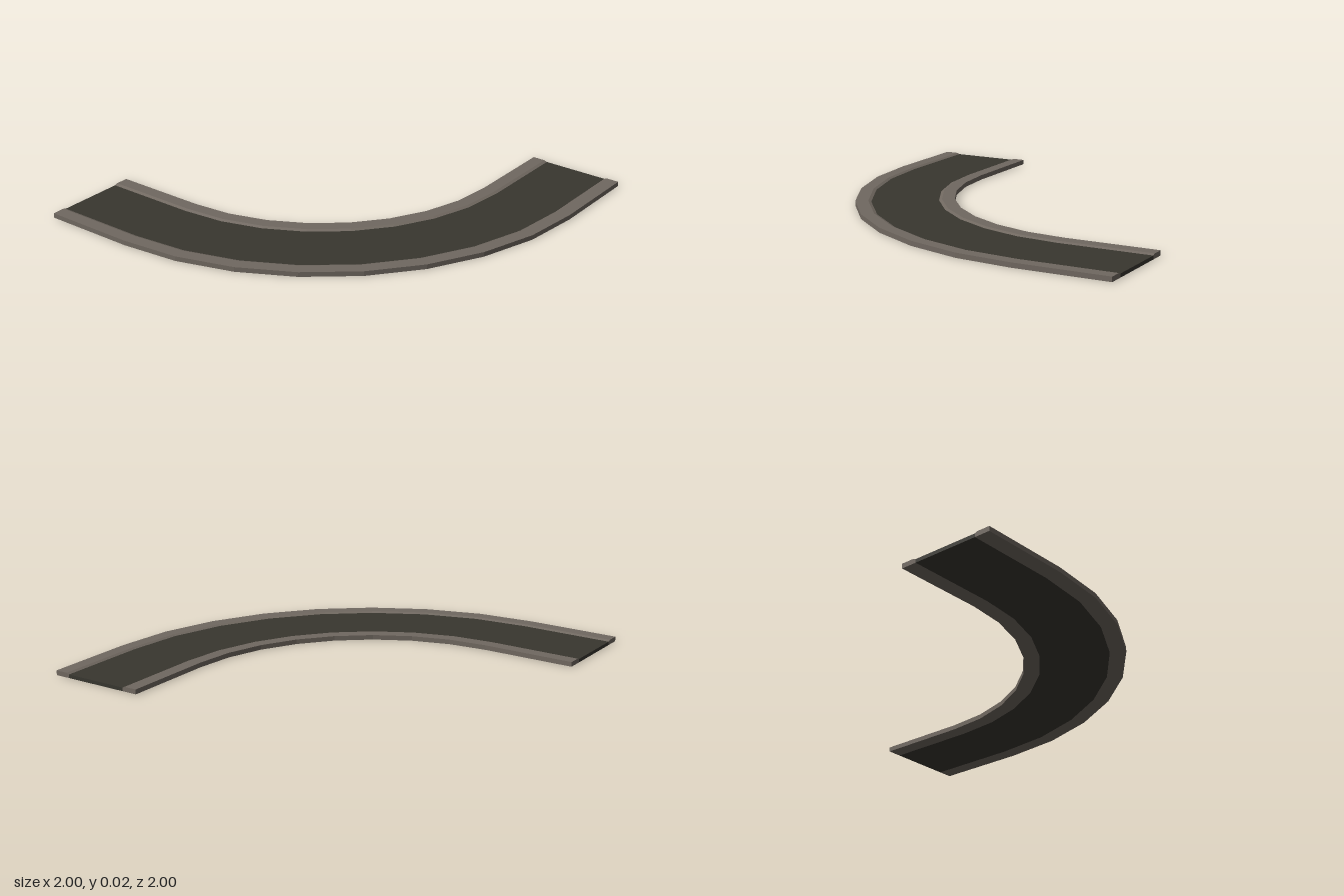
import * as THREE from 'three';

const CENTRE = -0.52; // x and z of the bend's centre
const SEGMENTS = 8;

// One cross-section of the road: a point at radius r and height y
function stationPoint(i, r, y) {
  const step = Math.min(Math.max(i - 1, 0), SEGMENTS);
  const a = (step / SEGMENTS) * Math.PI / 2;
  let x = CENTRE + r * Math.cos(a);
  let z = CENTRE + r * Math.sin(a);
  if (i === 0) z = -1; // straight lead-in
  if (i === SEGMENTS + 2) x = -1; // straight lead-out
  return [x, y, z];
}

// Sweeps a convex, counter-clockwise [r, y] profile along the bend
function sweep(profile) {
  const pos = [];
  const tri = (a, b, c) => pos.push(...a, ...b, ...c);
  const last = SEGMENTS + 2;
  const n = profile.length;
  const at = (i, k) => stationPoint(i, ...profile[k % n]);
  for (let i = 0; i < last; i++) {
    for (let k = 0; k < n; k++) {
      const a = at(i, k), b = at(i, k + 1), c = at(i + 1, k + 1), d = at(i + 1, k);
      tri(a, b, c);
      tri(a, c, d);
    }
  }
  // End caps
  for (let k = 1; k < n - 1; k++) {
    tri(at(0, 0), at(0, k + 1), at(0, k));
    tri(at(last, 0), at(last, k), at(last, k + 1));
  }
  const geo = new THREE.BufferGeometry();
  geo.setAttribute('position', new THREE.Float32BufferAttribute(pos, 3));
  geo.computeVertexNormals();
  return geo;
}

export function createModel() {
  const asphalt = new THREE.MeshStandardMaterial({ color: 0x38362f });
  asphalt.name = 'asphalt';
  const stone = new THREE.MeshStandardMaterial({ color: 0x706860 });
  stone.name = 'kerbStone';

  const group = new THREE.Group();
  group.name = 'roadBend';
  const add = (name, profile, material) => {
    const mesh = new THREE.Mesh(sweep(profile), material);
    mesh.name = name;
    group.add(mesh);
  };

  // Carriageway, slightly lower than the kerbs
  add('roadSurface', [[1.1, 0], [1.44, 0], [1.44, 0.018], [1.1, 0.018]], asphalt);
  // Kerbs with a small bevel towards the road
  add('innerKerb', [[1.02, 0], [1.1, 0], [1.1, 0.018], [1.085, 0.024], [1.02, 0.024]], stone);
  add('outerKerb', [[1.44, 0], [1.52, 0], [1.52, 0.024], [1.455, 0.024], [1.44, 0.018]], stone);
  return group;
}
